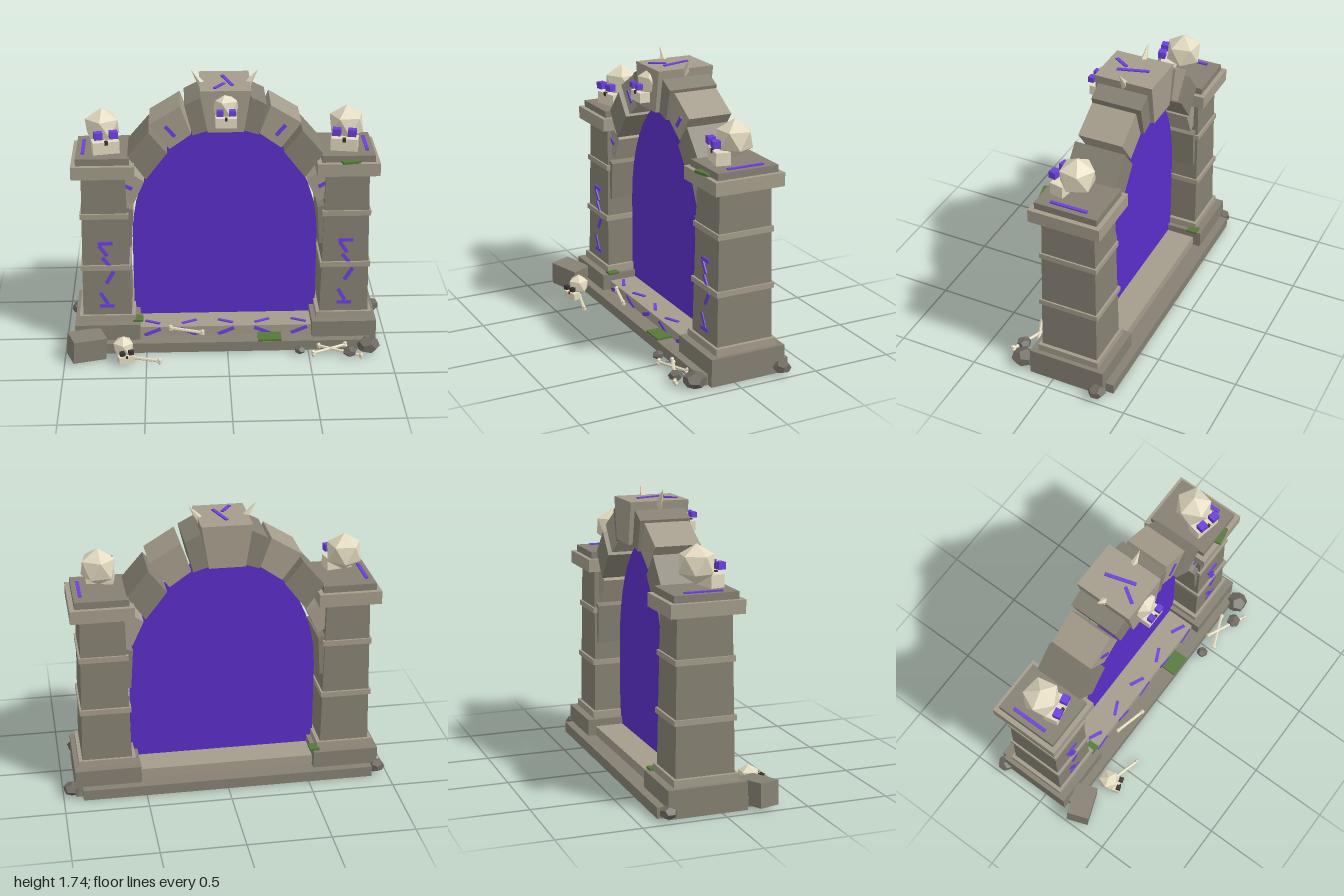
import * as THREE from 'three';

const mat = (name, color) => {
  const m = new THREE.MeshStandardMaterial({ color, flatShading: true });
  m.name = name;
  return m;
};

export function createModel() {
  const stone = mat('stone', 0x858072);
  const lightStone = mat('light stone', 0xa49c8b);
  const rubble = mat('rubble', 0x6e6a61);
  const bone = mat('bone', 0xe2dac0);
  const dark = mat('dark socket', 0x3c342c);
  const rune = mat('rune glow', 0x6c40dc);
  const portalMat = mat('portal purple', 0x5a2ec8);
  const moss = mat('moss', 0x55793a);

  const root = new THREE.Group();
  root.name = 'portalGate';
  // Gate is centred on z = 0 here and shifted back at the end
  const gate = new THREE.Group();
  gate.name = 'gate';
  gate.position.set(-0.007, 0, -0.088);
  root.add(gate);

  const add = (parent, name, geo, m, x = 0, y = 0, z = 0) => {
    const mesh = new THREE.Mesh(geo, m);
    mesh.name = name;
    mesh.position.set(x, y, z);
    parent.add(mesh);
    return mesh;
  };
  const box = (parent, name, m, w, h, d, x, y, z) =>
    add(parent, name, new THREE.BoxGeometry(w, h, d), m, x, y, z);
  // Box given by its bottom and top heights
  const course = (parent, name, m, w, d, y0, y1) =>
    box(parent, name, m, w, y1 - y0, d, 0, (y0 + y1) / 2, 0);
  // Prism with an outline in the xy plane, centred on z = 0
  const prism = (parent, name, m, pts, depth) => {
    const shape = new THREE.Shape(pts.map(p => new THREE.Vector2(p[0], p[1])));
    const geo = new THREE.ExtrudeGeometry(shape, { depth, bevelEnabled: false });
    geo.translate(0, 0, -depth / 2);
    return add(parent, name, geo, m);
  };
  // Glowing strip on a front face, from one point to another
  const frontRune = (parent, x0, y0, x1, y1, z, w = 0.022) => {
    const r = box(parent, 'rune', rune, Math.hypot(x1 - x0, y1 - y0), w, 0.009,
      (x0 + x1) / 2, (y0 + y1) / 2, z);
    r.rotation.z = Math.atan2(y1 - y0, x1 - x0);
  };
  // Glowing strip on a top face
  const topRune = (parent, x0, z0, x1, z1, y, w = 0.02) => {
    const r = box(parent, 'rune', rune, Math.hypot(x1 - x0, z1 - z0), 0.009, w,
      (x0 + x1) / 2, y, (z0 + z1) / 2);
    r.rotation.y = -Math.atan2(z1 - z0, x1 - x0);
  };

  // Base slab, step and step runes
  course(gate, 'baseSlab', stone, 1.78, 0.58, 0, 0.065);
  course(gate, 'step', lightStone, 1.3, 0.38, 0.065, 0.125);
  for (let i = -2; i <= 2; i++) {
    const s = i % 2 ? -0.021 : 0.021, x = i * 0.228;
    frontRune(gate, x - 0.05, 0.091 - s, x + 0.05, 0.091 + s, 0.191);
    topRune(gate, x - 0.045, 0.13 - s, x + 0.045, 0.13 + s, 0.127);
  }

  // Skull facing +z
  const skull = (parent, x, y, z, size, turn, eyeMat) => {
    const g = new THREE.Group();
    g.name = 'skull';
    const cranium = new THREE.IcosahedronGeometry(0.115, 0);
    cranium.rotateZ(Math.atan(2 / (1 + Math.sqrt(5))));
    add(g, 'cranium', cranium, bone);
    box(g, 'jaw', bone, 0.16, 0.075, 0.085, 0, -0.095, 0.09);
    for (const s of [-1, 1]) box(g, 'eye', eyeMat, 0.05, 0.042, 0.045, s * 0.046, -0.013, 0.125);
    box(g, 'nose', dark, 0.02, 0.026, 0.015, 0, -0.062, 0.13);
    g.position.set(x, y, z);
    g.scale.setScalar(size);
    g.rotation.y = turn;
    parent.add(g);
  };

  // Pillars
  const zigzag = [
    [-0.045, 0.70, 0.045, 0.70], [-0.036, 0.685, 0.01, 0.617], [-0.018, 0.605, 0.033, 0.535],
    [0.048, 0.51, 0, 0.43], [-0.038, 0.365, 0.006, 0.288], [-0.045, 0.275, 0.045, 0.275],
  ];
  for (const s of [-1, 1]) {
    const p = new THREE.Group();
    p.name = s < 0 ? 'rightPillar' : 'leftPillar';
    p.position.x = s * 0.732;
    gate.add(p);
    course(p, 'pillarBase', stone, 0.4, 0.48, 0, 0.17);
    course(p, 'plinth', lightStone, 0.345, 0.39, 0.17, 0.215);
    const shaft = course(p, 'shaft', stone, 1, 1, 0.215, 1.135);
    const pos = shaft.geometry.attributes.position;
    for (let i = 0; i < pos.count; i++) {
      const top = pos.getY(i) > 0;
      pos.setX(i, pos.getX(i) * (top ? 0.262 : 0.3));
      pos.setZ(i, pos.getZ(i) * (top ? 0.33 : 0.358));
    }
    course(p, 'lowerRing', lightStone, 0.308, 0.375, 0.52, 0.553);
    course(p, 'upperRing', lightStone, 0.295, 0.36, 0.86, 0.893);
    course(p, 'cap', lightStone, 0.375, 0.44, 1.135, 1.215);
    course(p, 'capTop', stone, 0.318, 0.385, 1.215, 1.257);
    topRune(p, s * 0.118, -0.117, s * 0.118, 0.11, 1.261);
    for (const [a, b, c, d] of zigzag) frontRune(p, a, b, c, d, 0.179);
    skull(p, 0, 1.395, 0, 1, -s * 0.2, rune);
  }

  // Arch stones: two inner corners, then two outer corners
  const stones = [
    [[0.107, 1.412], [0.195, 1.385], [0.242, 1.572], [0.150, 1.62]],
    [[0.203, 1.385], [0.332, 1.294], [0.449, 1.45], [0.267, 1.561]],
    [[0.348, 1.273], [0.476, 1.107], [0.583, 1.257], [0.455, 1.406]],
    [[0.487, 1.086], [0.556, 0.936], [0.705, 1.02], [0.599, 1.16]],
    [[0.556, 0.909], [0.572, 0.668], [0.7, 0.668], [0.68, 0.957]],
  ];
  for (const s of [-1, 1]) {
    stones.forEach((pts, i) =>
      prism(gate, 'archStone', i % 2 ? lightStone : stone,
        pts.map(([x, y]) => [s * x, y]), i % 2 ? 0.275 : 0.31));
    frontRune(gate, s * 0.355, 1.438, s * 0.3, 1.374, 0.14);
    frontRune(gate, s * 0.61, 1.066, s * 0.56, 1.04, 0.14);
  }

  // Keystone with horns, skull and runes
  prism(gate, 'keystone', lightStone,
    [[-0.107, 1.412], [0.107, 1.412], [0.15, 1.668], [-0.15, 1.668]], 0.36);
  skull(gate, 0, 1.57, 0.155, 0.78, 0, rune);
  for (const s of [-1, 1]) {
    const horn = add(gate, 'horn', new THREE.ConeGeometry(0.03, 0.14, 5), bone, s * 0.158, 1.683, 0);
    horn.rotation.z = -s * 0.62;
  }
  topRune(gate, -0.012, -0.09, 0.042, 0.09, 1.671);
  topRune(gate, -0.006, 0.05, -0.065, 0.14, 1.671);

  // Portal sheet under a half ellipse
  const sheet = [[-0.569, 0.125], [0.569, 0.125]];
  for (let i = 0; i <= 20; i++) {
    const a = (i / 20) * Math.PI;
    sheet.push([0.569 * Math.cos(a), 0.668 + 0.752 * Math.sin(a)]);
  }
  prism(gate, 'portal', portalMat, sheet, 0.02);

  // Fallen block and rocks
  const block = box(root, 'fallenBlock', stone, 0.21, 0.145, 0.14, -0.865, 0.08, 0.24);
  block.rotation.set(0.05, 0.36, -0.08);
  const rocks = [
    [-0.935, 0.045, -0.325, 0.055], [0.945, 0.045, -0.3, 0.057], [0.87, 0.045, 0.23, 0.072],
    [0.75, 0.035, 0.29, 0.046], [0.445, 0.03, 0.25, 0.036],
  ];
  rocks.forEach(([x, y, z, r], i) => {
    const rock = add(root, 'rock', new THREE.DodecahedronGeometry(r, 0), rubble, x, y, z);
    rock.scale.y = 0.7;
    rock.rotation.y = i * 1.3;
  });

  // Loose skull and bones
  skull(root, -0.64, 0.096, 0.285, 0.6, 0.3, dark);
  const bones = [
    [-0.35, 0.14, 0.145, -0.155, 0.13, 0.193], [-0.6, 0.025, 0.295, -0.42, 0.022, 0.345],
    [0.525, 0.025, 0.288, 0.73, 0.035, 0.205], [0.565, 0.035, 0.215, 0.815, 0.025, 0.328],
  ];
  for (const [x0, y0, z0, x1, y1, z1] of bones) {
    const a = new THREE.Vector3(x0, y0, z0), b = new THREE.Vector3(x1, y1, z1);
    const g = new THREE.Group();
    g.name = 'bone';
    g.position.copy(a).lerp(b, 0.5);
    const len = a.distanceTo(b);
    g.quaternion.setFromUnitVectors(new THREE.Vector3(0, 1, 0), b.clone().sub(a).normalize());
    add(g, 'boneShaft', new THREE.CylinderGeometry(0.01, 0.01, len, 6), bone);
    for (const s of [-1, 1]) for (const k of [-1, 1])
      add(g, 'boneKnob', new THREE.IcosahedronGeometry(0.015, 0), bone, k * 0.009, s * len / 2, 0);
    root.add(g);
  }

  // Moss patches
  box(root, 'moss', moss, 0.145, 0.014, 0.1, 0.262, 0.071, 0.15);
  box(root, 'moss', moss, 0.11, 0.016, 0.06, 0.735, 1.223, 0.105).rotation.y = 0.2;
  box(root, 'moss', moss, 0.06, 0.014, 0.07, -0.55, 0.177, -0.27);
  box(root, 'moss', moss, 0.06, 0.014, 0.07, -0.55, 0.177, 0.08);
  return root;
}
